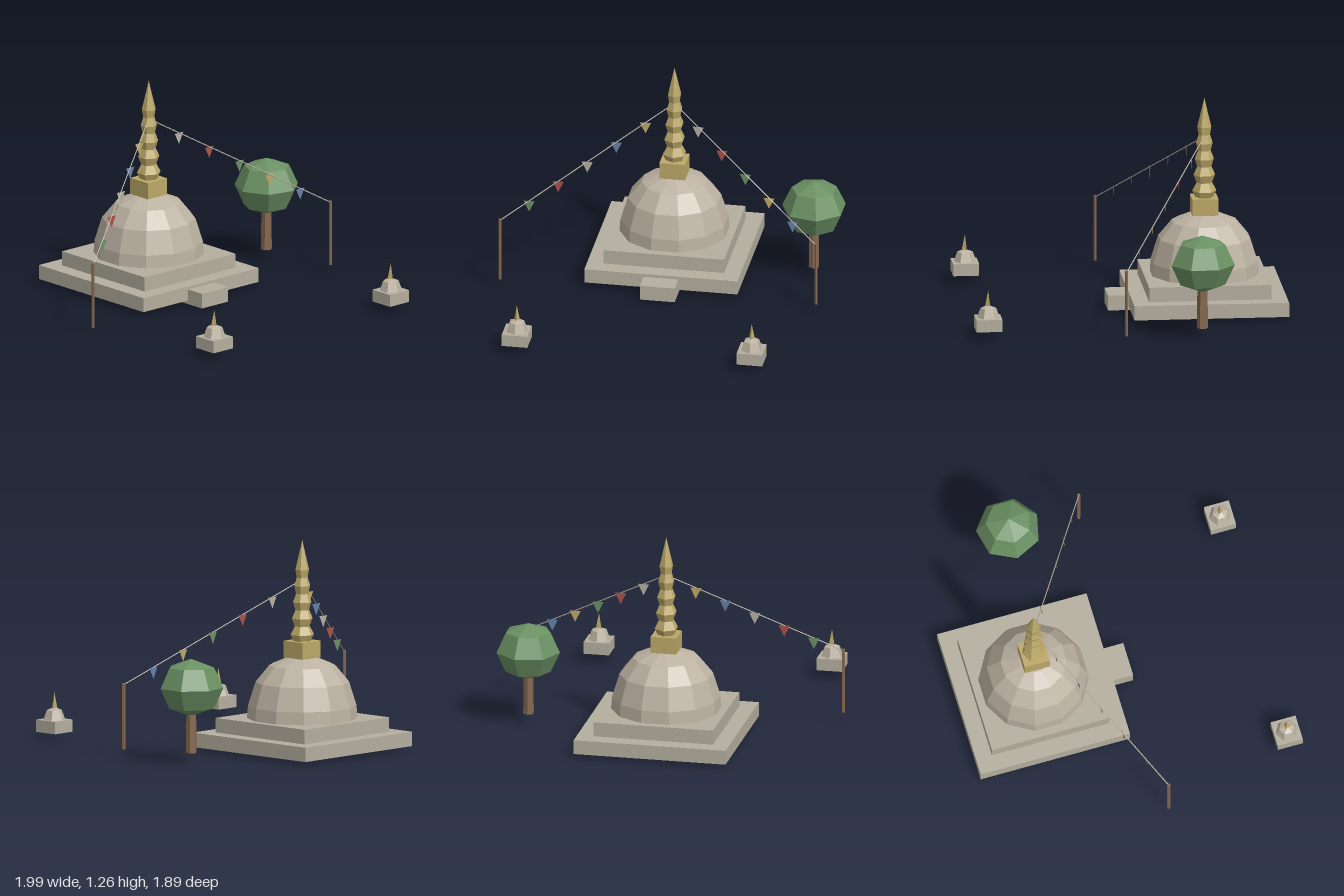
import * as THREE from 'three';

const mat = (name, color, extra = {}) => {
  const m = new THREE.MeshStandardMaterial({ color, flatShading: true, ...extra });
  m.name = name;
  return m;
};

export function createModel() {
  const model = new THREE.Group();
  model.name = 'domedShrine';

  const both = { side: THREE.DoubleSide };
  const stone = mat('stone', 0xb4ae9e);
  const plaster = mat('plaster', 0xbcb2a2);
  const gold = mat('gold', 0xbca868);
  const wood = mat('wood', 0x86684f);
  const leaves = mat('leaves', 0x6a9062);
  const cream = mat('creamCloth', 0xb6b0a2, both);
  const red = mat('redCloth', 0xa8524a, both);
  const blue = mat('blueCloth', 0x6480a8, both);
  const green = mat('greenCloth', 0x6a9062, both);
  const yellow = mat('yellowCloth', 0xbca868, both);

  const add = (name, geometry, material, x = 0, y = 0, z = 0, parent = model) => {
    const mesh = new THREE.Mesh(geometry, material);
    mesh.name = name;
    mesh.position.set(x, y, z);
    parent.add(mesh);
    return mesh;
  };
  // box standing on y0 and reaching y1
  const slab = (name, w, y0, y1, d, material, x, z, parent) =>
    add(name, new THREE.BoxGeometry(w, y1 - y0, d), material, x, (y0 + y1) / 2, z, parent);
  const lathe = (points, sides) =>
    new THREE.LatheGeometry(points.map(([r, y]) => new THREE.Vector2(r, y)), sides);

  const CX = -0.04, CZ = -0.485;

  // stepped plinth and front step
  slab('lowerTerrace', 0.92, 0.022, 0.108, 0.92, stone, CX, CZ);
  slab('upperTerrace', 0.725, 0.108, 0.195, 0.725, stone, CX, CZ);
  slab('frontStep', 0.21, 0, 0.09, 0.18, stone, CX, 0.008);

  // twelve-sided dome with flats facing the four sides
  const dome = add('dome', lathe([
    [0.327, 0.195], [0.321, 0.27], [0.277, 0.41], [0.195, 0.51], [0.09, 0.555], [0, 0.562],
  ], 12), plaster, CX, 0, CZ);
  dome.rotation.y = Math.PI / 12;

  // square block and ringed spire
  slab('spireBlock', 0.155, 0.555, 0.655, 0.155, gold, CX, CZ);
  const rings = [[0.055, 0.655]];
  for (let i = 0; i < 5; i++) {
    const y = 0.692 + i * 0.097;
    rings.push([0.072 - i * 0.0075, y], [0.046 - i * 0.004, y + 0.05]);
  }
  rings.pop();
  rings.push([0, 1.257]);
  add('spire', lathe(rings, 6), gold, CX, 0, CZ);

  // two corner shrines
  for (const x of [-0.747, 0.664]) {
    const shrine = new THREE.Group();
    shrine.name = 'smallShrine';
    shrine.position.set(x, 0, 0.868);
    model.add(shrine);
    slab('shrineBase', 0.154, 0.05, 0.123, 0.154, stone, 0, 0, shrine);
    add('shrineDome', lathe([[0.067, 0.123], [0.047, 0.18], [0, 0.198]], 6), plaster, 0, 0, 0, shrine);
    add('shrineSpike', new THREE.ConeGeometry(0.022, 0.107, 3), gold, 0, 0.2335, 0, shrine);
  }

  // poles, cords and hanging flags
  const flagShape = new THREE.Shape();
  flagShape.moveTo(-0.034, 0);
  flagShape.lineTo(0, -0.07);
  flagShape.lineTo(0.034, 0);
  const flagGeometry = new THREE.ShapeGeometry(flagShape);
  const spireEnd = new THREE.Vector3(CX, 1.02, CZ);
  const lines = [
    { x: -0.99, cloths: [yellow, blue, cream, red, green] },
    { x: 0.91, cloths: [cream, red, green, yellow, blue] },
  ];
  for (const { x, cloths } of lines) {
    add('flagPole', new THREE.CylinderGeometry(0.01, 0.01, 0.396, 5), wood, x, 0.247, 0.07);
    const poleEnd = new THREE.Vector3(x, 0.435, 0.07);
    const cord = new THREE.TubeGeometry(new THREE.LineCurve3(spireEnd, poleEnd), 1, 0.0035, 4);
    add('flagCord', cord, cream);
    cloths.forEach((cloth, i) => {
      const p = spireEnd.clone().lerp(poleEnd, (i + 1) / 6);
      add('flag', flagGeometry, cloth, p.x, p.y, p.z);
    });
  }

  // tree
  add('trunk', new THREE.CylinderGeometry(0.03, 0.033, 0.27, 6), wood, 0.815, 0.2, -0.39);
  const crown = add('crown', new THREE.SphereGeometry(0.193, 7, 4), leaves, 0.817, 0.455, -0.39);
  crown.scale.y = 0.89;

  return model;
}
